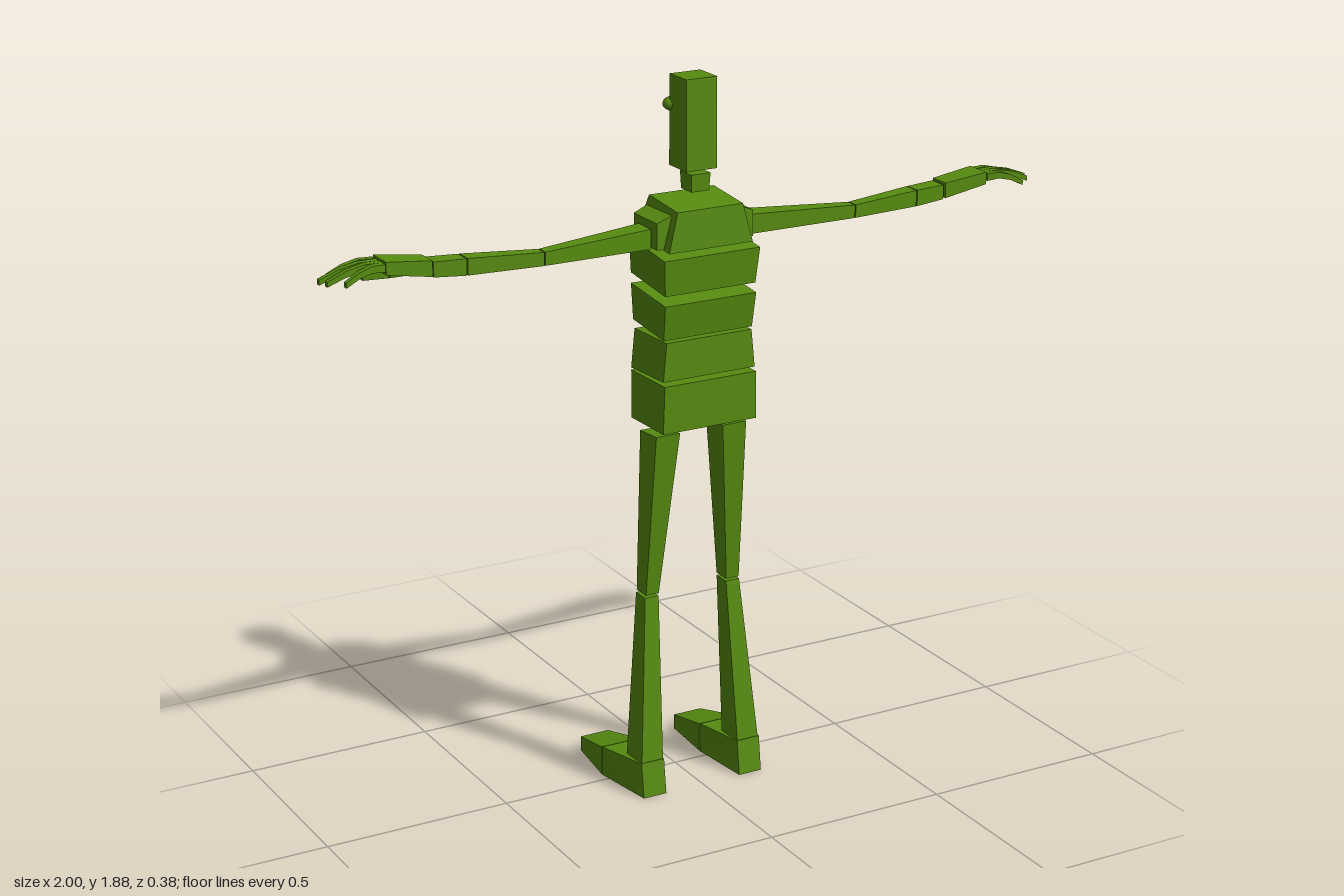
import * as THREE from 'three';

const GREEN = 0x578c10;
const flat = new THREE.MeshStandardMaterial({ color: GREEN, flatShading: true });
const smooth = new THREE.MeshStandardMaterial({ color: GREEN });

// Block tapering along an axis between two rectangles: [position, u0, u1, v0, v1, tilt]
// u, v are the other two axes in x, y, z order; tilt shifts the end face along v.
function taper(axis, a, b) {
  const g = new THREE.BoxGeometry(2, 2, 2);
  const p = g.attributes.position;
  const [u, v] = [0, 1, 2].filter((i) => i !== axis);
  for (let i = 0; i < p.count; i++) {
    const s = [p.getX(i), p.getY(i), p.getZ(i)];
    const e = s[axis] < 0 ? a : b;
    const out = [0, 0, 0];
    out[axis] = e[0] + (e[5] || 0) * s[v];
    out[u] = s[u] < 0 ? e[1] : e[2];
    out[v] = s[v] < 0 ? e[3] : e[4];
    p.setXYZ(i, ...out);
  }
  g.computeVertexNormals();
  return g;
}

function mirrored(geo) {
  const g = geo.clone();
  g.scale(-1, 1, 1);
  const ix = g.index;
  for (let i = 0; i < ix.count; i += 3) {
    const t = ix.getX(i);
    ix.setX(i, ix.getX(i + 2));
    ix.setX(i + 2, t);
  }
  g.computeVertexNormals();
  return g;
}

export function createModel() {
  const model = new THREE.Group();
  model.name = 'blockFigure';

  const add = (name, geo, mat = flat) => {
    const m = new THREE.Mesh(geo, mat);
    m.name = name;
    model.add(m);
  };
  const pair = (name, geo, mat = flat) => {
    add(name + 'Left', geo, mat);
    add(name + 'Right', mirrored(geo), mat);
  };

  // Head and neck
  add('head', taper(1, [1.658, -0.043, 0.043, 0.047, 0.133], [1.888, -0.043, 0.043, 0.05, 0.133]));
  add('neck', taper(1, [1.603, -0.025, 0.025, 0.075, 0.127], [1.648, -0.027, 0.027, 0.073, 0.13]));
  const eye = new THREE.SphereGeometry(1, 16, 12);
  eye.scale(0.026, 0.018, 0.025);
  eye.translate(0.03, 1.81, 0.042);
  pair('eye', eye, smooth);

  // Torso, stacked from the hips up
  add('pelvis', taper(1, [1.006, -0.134, 0.134, 0.015, 0.18, 0.002], [1.131, -0.131, 0.131, 0.008, 0.183, 0.002]));
  add('waist', taper(1, [1.139, -0.131, 0.131, 0.008, 0.175, 0.004], [1.24, -0.121, 0.121, 0.008, 0.175, 0.003]));
  add('abdomen', taper(1, [1.255, -0.126, 0.126, 0.01, 0.168, -0.007], [1.348, -0.129, 0.129, 0.005, 0.183, -0.008]));
  add('ribs', taper(1, [1.374, -0.128, 0.128, 0.003, 0.18, -0.009], [1.468, -0.135, 0.135, 0.008, 0.19, -0.01]));
  add('chest', taper(1, [1.48, -0.118, 0.118, 0.01, 0.183, -0.007], [1.579, -0.092, 0.092, 0.033, 0.178, -0.006]));

  // Shoulders and arms
  pair('shoulder', taper(0, [0.08, 1.477, 1.567, 0.03, 0.157], [0.136, 1.477, 1.545, 0.035, 0.152]));
  pair('upperArm', taper(0, [0.139, 1.475, 1.526, 0.065, 0.128], [0.438, 1.481, 1.515, 0.113, 0.147]));
  pair('forearm', taper(0, [0.441, 1.481, 1.515, 0.113, 0.147], [0.635, 1.481, 1.523, 0.082, 0.13]));
  pair('wrist', taper(0, [0.638, 1.481, 1.523, 0.082, 0.13], [0.722, 1.487, 1.525, 0.072, 0.124]));
  pair('hand', taper(0, [0.726, 1.49, 1.53, 0.068, 0.128], [0.848, 1.513, 1.545, 0.06, 0.134]));

  // Fingers: tip x, knuckle z, tip z; each has three drooping joints
  const fingers = [[0.965, 0.068, 0.055], [1.0, 0.089, 0.085], [0.99, 0.108, 0.11], [0.955, 0.126, 0.14]];
  const heights = [1.531, 1.533, 1.524, 1.506];
  fingers.forEach(([tip, z0, z1], f) => {
    const end = (k) => {
      const t = k / 3;
      const z = z0 + (z1 - z0) * t;
      const r = 0.0095 - 0.003 * t;
      return [0.85 + (tip - 0.85) * t, heights[k] - r, heights[k] + r, z - r, z + r];
    };
    for (let k = 0; k < 3; k++) pair(`finger${f + 1}Joint${k + 1}`, taper(0, end(k), end(k + 1)));
  });
  pair('thumbBase', taper(0, [0.726, 1.487, 1.512, 0.055, 0.078], [0.805, 1.48, 1.5, 0.038, 0.057]));
  pair('thumbTip', taper(0, [0.807, 1.48, 1.5, 0.037, 0.056], [0.868, 1.478, 1.49, 0.027, 0.039]));

  // Legs
  pair('thigh', taper(1, [0.545, 0.1, 0.137, 0.043, 0.093], [0.984, 0.062, 0.13, 0.052, 0.137, 0.003]));
  pair('shin', taper(1, [0.095, 0.112, 0.174, 0.053, 0.136], [0.538, 0.1, 0.139, 0.043, 0.092]));

  // Feet, with the toes towards -z
  pair('foot', taper(2, [-0.027, 0.092, 0.204, 0.005, 0.086], [0.144, 0.11, 0.176, 0.005, 0.099, -0.006]));
  pair('toes', taper(2, [-0.188, 0.102, 0.184, 0.005, 0.046], [-0.032, 0.092, 0.204, 0.005, 0.084]));

  return model;
}
